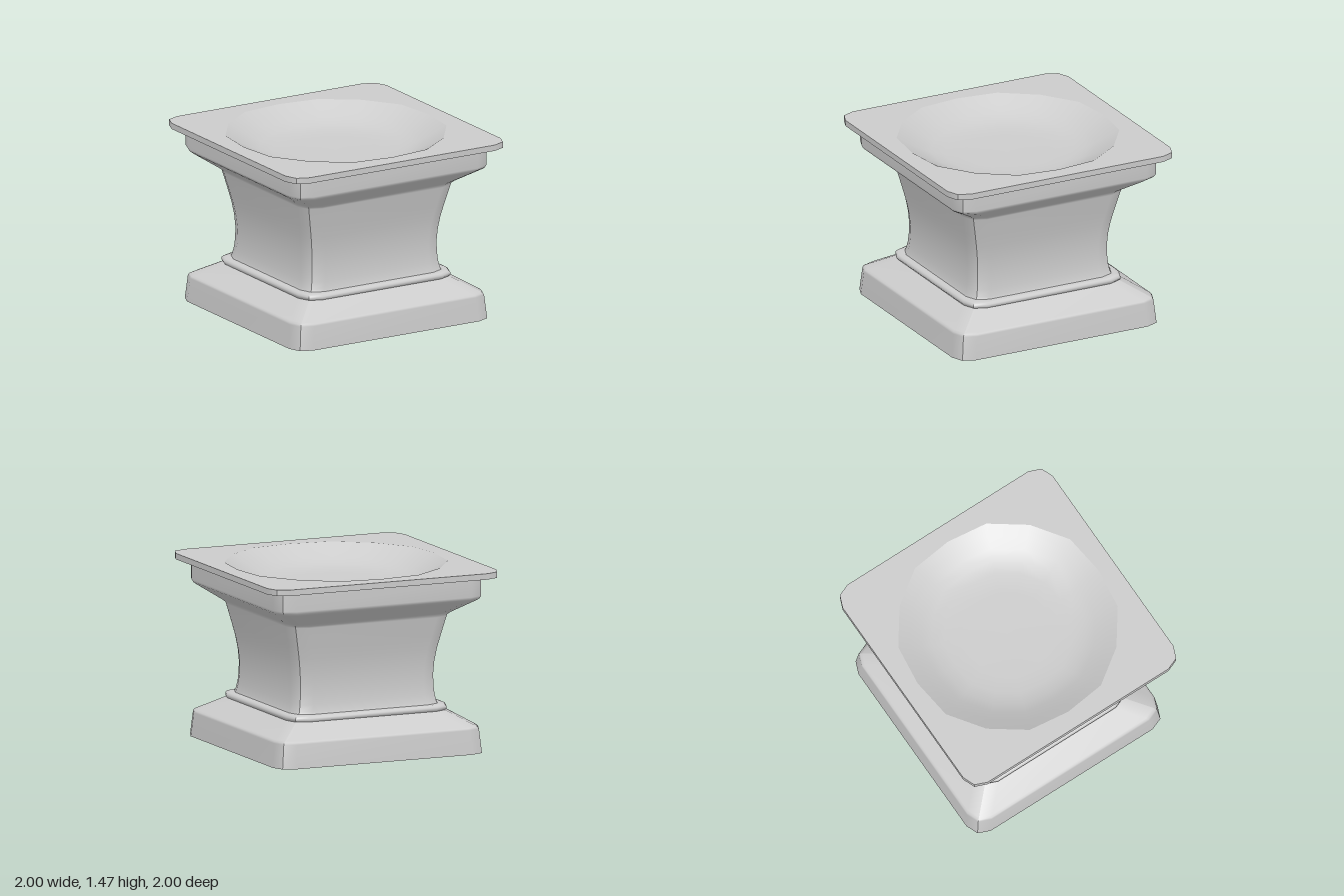
import * as THREE from 'three';

const material = new THREE.MeshStandardMaterial({ color: 0xcccccc });

// The basin rim is a slightly squared 16-sided ring
const rimRadius = 0.86;
const rimScale = (i) => [1, 1.03, 1.018, 1.03][i % 4];

// Square outline of half width a with two-step corners, as [x, z] pairs.
// Each side has four points, so the corner point occurs twice and stays crisp.
function outline(a) {
  const side = [[a - 0.04, 0.04 - a], [a, 0.14 - a], [a, a - 0.14], [a - 0.04, a - 0.04]];
  const points = [];
  for (let q = 0; q < 4; q++) {
    for (const [x, z] of side) points.push([[x, z], [-z, x], [-x, -z], [z, -x]][q]);
  }
  return points;
}

// Skin of stacked outlines; profile holds [half width, height] from bottom to top
function loft(profile) {
  const positions = [], index = [], n = 16;
  for (const [a, y] of profile) {
    for (const [x, z] of outline(a)) positions.push(x, y, z);
  }
  for (let j = 0; j < profile.length - 1; j++) {
    for (let k = 0; k < n; k++) {
      if (k % 4 === 3) continue; // no face between the doubled corner points
      const a = j * n + k;
      index.push(a, a + n, a + 1, a + 1, a + n, a + n + 1);
    }
  }
  const geometry = new THREE.BufferGeometry();
  geometry.setAttribute('position', new THREE.Float32BufferAttribute(positions, 3));
  geometry.setIndex(index);
  geometry.computeVertexNormals();
  return geometry;
}

// Flat horizontal face at height y, with the basin opening if wanted
function face(a, y, up, open) {
  const corners = outline(a).filter((_, i) => i % 4 !== 3);
  const shape = new THREE.Shape(corners.map(([x, z]) => new THREE.Vector2(x, z)));
  if (open) {
    const hole = [];
    for (let i = 0; i < 16; i++) {
      const t = -i * Math.PI / 8, r = rimRadius * rimScale(i);
      hole.push(new THREE.Vector2(Math.cos(t) * r, Math.sin(t) * r));
    }
    shape.holes.push(new THREE.Path(hole));
  }
  const geometry = new THREE.ShapeGeometry(shape);
  geometry.rotateX(up ? -Math.PI / 2 : Math.PI / 2);
  geometry.translate(0, y, 0);
  return geometry;
}

// Shallow dish turned from a profile, then widened to the squared rim
function dish(profile) {
  const geometry = new THREE.LatheGeometry(profile.map(([r, y]) => new THREE.Vector2(r, y)), 16);
  const position = geometry.attributes.position;
  for (let v = 0; v < position.count; v++) {
    const s = rimScale(Math.floor(v / profile.length));
    position.setX(v, position.getX(v) * s);
    position.setZ(v, position.getZ(v) * s);
  }
  return geometry;
}

export function createModel() {
  const model = new THREE.Group();
  const add = (name, geometry, parent = model) => {
    const mesh = new THREE.Mesh(geometry, material);
    mesh.name = name;
    parent.add(mesh);
  };

  // Plinth with sloping shoulders
  add('plinth', loft([[0.91, 0], [0.892, 0.192], [0.885, 0.207], [0.87, 0.217], [0.69, 0.328]]));
  add('plinthUnderside', face(0.91, 0, false, false));

  // Thin moulding around the foot of the shaft
  add('moulding', loft([[0.69, 0.328], [0.7, 0.342], [0.698, 0.358], [0.688, 0.371], [0.67, 0.377], [0.635, 0.378]]));

  // Waisted shaft flaring into the capital
  add('shaftAndCapital', loft([[0.645, 0.376], [0.638, 0.395], [0.627, 0.45], [0.62, 0.53], [0.619, 0.62],
    [0.626, 0.72], [0.641, 0.82], [0.662, 0.92], [0.682, 1.01], [0.699, 1.085], [0.703, 1.1],
    [0.72, 1.117], [0.875, 1.226], [0.895, 1.243], [0.905, 1.265], [0.905, 1.417]]));

  // Top slab with a round opening
  const slab = new THREE.Group();
  slab.name = 'topSlab';
  model.add(slab);
  add('slabEdge', loft([[1, 1.417], [1, 1.465]]), slab);
  add('slabTop', face(1, 1.465, true, true), slab);
  add('slabUnderside', face(1, 1.417, false, true), slab);

  // Shallow basin sunk into the slab
  add('basin', dish([[rimRadius, 1.465], [0.77, 1.415], [0.68, 1.368], [0.6, 1.335],
    [0.5, 1.315], [0.35, 1.306], [0, 1.303]]));
  return model;
}
